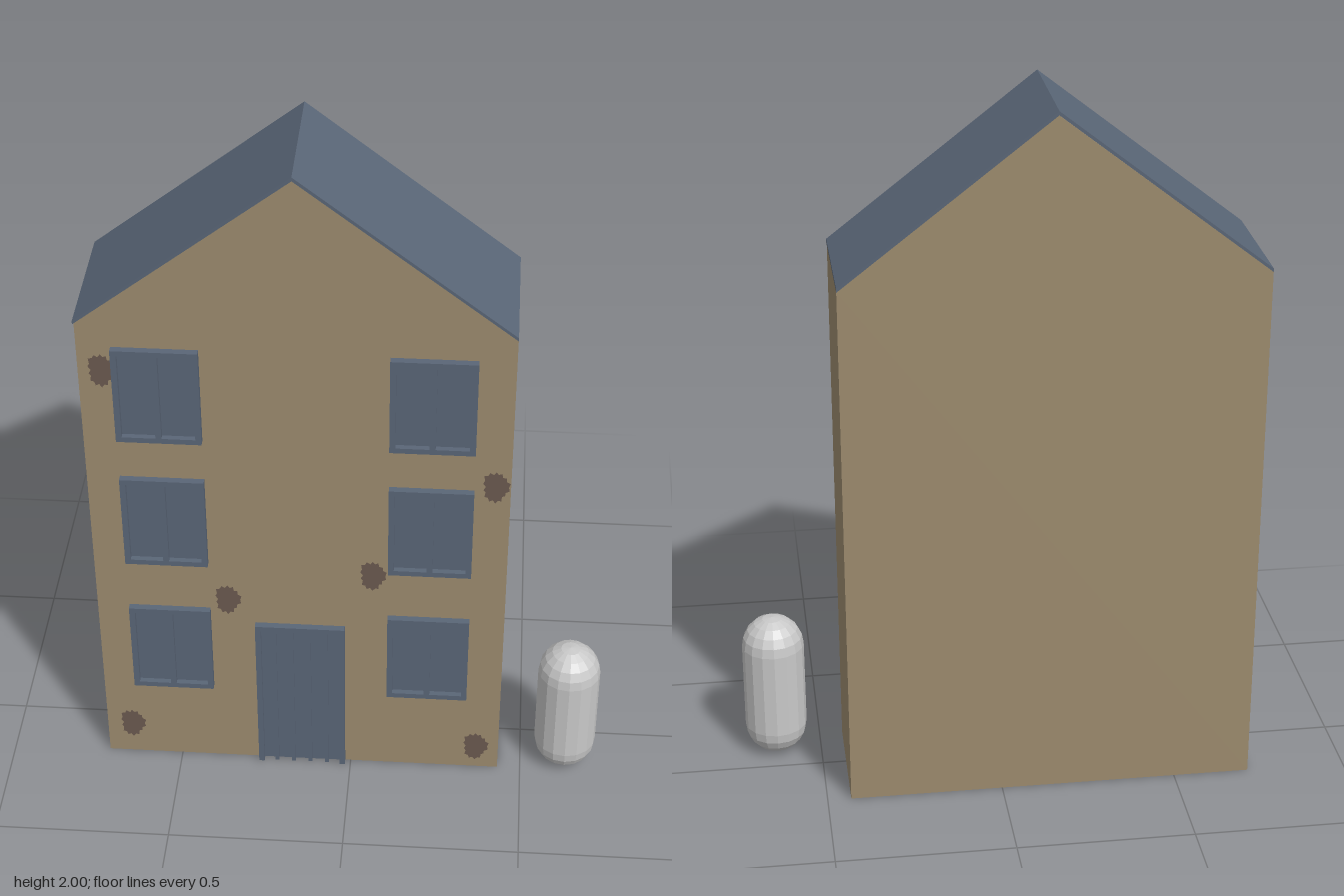
import * as THREE from 'three';

export function createModel() {
  const model = new THREE.Group();
  const mat = (name, color, extra = {}) => {
    const m = new THREE.MeshStandardMaterial({ color, ...extra });
    m.name = name;
    return m;
  };
  const plaster = mat('tan plaster', 0x9c8b6e);
  const slate = mat('slate blue', 0x5a6677);
  const stain = mat('brown stain', 0x6b5a50, { side: THREE.DoubleSide });
  const grey = mat('light grey', 0xc8c8c8, { flatShading: true });

  const add = (parent, name, geometry, material, x = 0, y = 0, z = 0) => {
    const mesh = new THREE.Mesh(geometry, material);
    mesh.name = name;
    mesh.position.set(x, y, z);
    parent.add(mesh);
    return mesh;
  };
  const polygon = (pts) => new THREE.Shape(pts.map(([x, y]) => new THREE.Vector2(x, y)));
  const extrude = (shape, depth) => new THREE.ExtrudeGeometry(shape, { depth, bevelEnabled: false });

  // House body and thin gable roof that overhangs the front wall
  const L = -0.717, R = 0.433, MID = -0.142, BACK = -0.198, WALL = 0.163, FRONT = 0.183;
  const body = polygon([[L, 0], [R, 0], [R, 1.54], [MID, 1.988], [L, 1.54]]);
  add(model, 'walls', extrude(body, WALL - BACK), plaster, 0, 0, BACK);
  const roof = polygon([[R, 1.54], [R, 1.55], [MID, 2], [L, 1.55], [L, 1.54], [MID, 1.989]]);
  add(model, 'roof', extrude(roof, FRONT - BACK + 0.001), slate, 0, 0, BACK - 0.001);

  // Rectangular frame with an open middle
  const frame = (w, h, t) => {
    const s = polygon([[-w / 2, 0], [w / 2, 0], [w / 2, h], [-w / 2, h]]);
    const a = w / 2 - t;
    s.holes.push(new THREE.Path([[-a, t], [-a, h - t], [a, h - t], [a, t]].map((p) => new THREE.Vector2(...p))));
    return extrude(s, FRONT - WALL);
  };

  // Windows: frame, centre bar and recessed panes
  const W = 0.23, H = 0.295, T = 0.016;
  for (const y of [0.28, 0.74, 1.165]) {
    for (const x of [-0.511, 0.22]) {
      const win = new THREE.Group();
      win.name = 'window';
      win.position.set(x, y, WALL);
      add(win, 'windowFrame', frame(W, H, T), slate);
      add(win, 'windowBar', new THREE.BoxGeometry(0.016, H - 2 * T, 0.02), slate, 0, H / 2, 0.01);
      add(win, 'windowPanes', new THREE.BoxGeometry(W - 2 * T, H - 2 * T, 0.004), slate, 0, H / 2, 0.002);
      model.add(win);
    }
  }

  // Door: frame, panel and upright battens
  const door = new THREE.Group();
  door.name = 'door';
  door.position.set(-0.143, 0, WALL);
  const DW = 0.254, DH = 0.527;
  add(door, 'doorPanel', new THREE.BoxGeometry(DW - 0.02, DH - 0.01, 0.006), slate, 0, DH / 2, 0.003);
  add(door, 'doorLintel', new THREE.BoxGeometry(DW, 0.016, 0.02), slate, 0, DH - 0.008, 0.01);
  for (const side of [-1, 1]) {
    add(door, 'doorPost', new THREE.BoxGeometry(0.016, DH - 0.016, 0.02), slate,
      side * (DW / 2 - 0.008), (DH - 0.016) / 2, 0.01);
  }
  for (let i = 0; i < 4; i++) {
    add(door, 'doorBatten', new THREE.BoxGeometry(0.011, DH - 0.016, 0.014), slate,
      (i - 1.5) * 0.049, (DH - 0.016) / 2, 0.007);
  }
  model.add(door);

  // Ragged stains on the front wall
  const rim = [];
  for (let i = 0; i < 28; i++) {
    const a = (i / 28) * Math.PI * 2;
    const r = 0.9 + (i % 2 ? 0.1 : -0.06) + 0.07 * Math.sin(3 * a + 1) + 0.05 * Math.cos(5 * a);
    rim.push([0.037 * r * Math.cos(a), 0.053 * r * Math.sin(a)]);
  }
  const stainGeometry = new THREE.ShapeGeometry(polygon(rim));
  const spots = [[-0.655, 1.385], [0.392, 1.05], [0.062, 0.72], [-0.346, 0.61], [-0.643, 0.113], [0.366, 0.083]];
  for (const [x, y] of spots) add(model, 'stain', stainGeometry, stain, x, y, WALL + 0.002);

  // Rounded post beside the house
  add(model, 'post', new THREE.CapsuleGeometry(0.089, 0.257, 5, 16), grey, 0.628, 0.2175, 0.107);

  return model;
}
